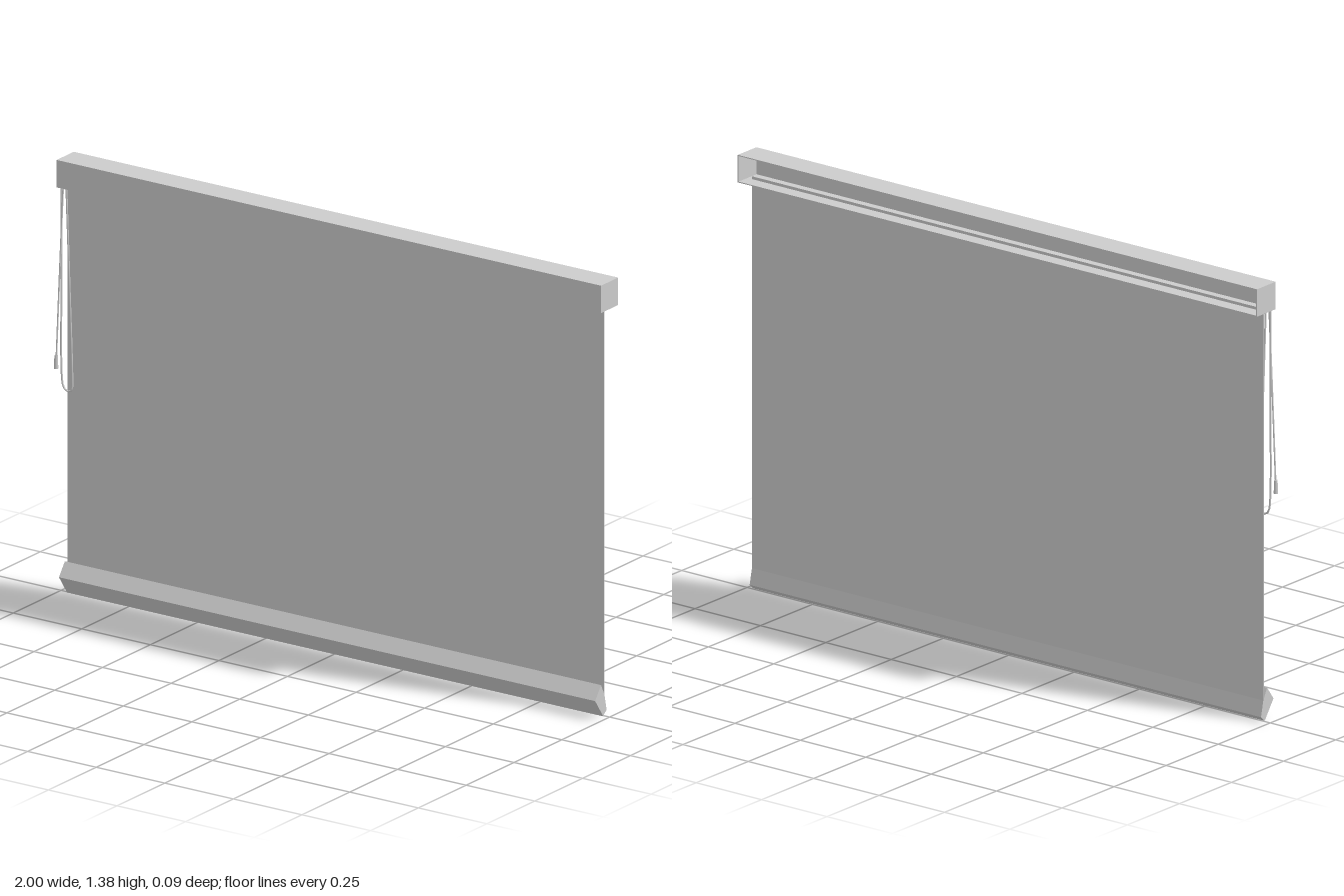
import * as THREE from 'three';

export function createModel() {
  const group = new THREE.Group();
  const mat = new THREE.MeshStandardMaterial({ color: 0xcccccc, side: THREE.DoubleSide });

  const add = (name, geo) => {
    const mesh = new THREE.Mesh(geo, mat);
    mesh.name = name;
    group.add(mesh);
    return mesh;
  };
  const box = (name, x0, x1, y0, y1, z0, z1) =>
    add(name, new THREE.BoxGeometry(x1 - x0, y1 - y0, z1 - z0)
      .translate((x0 + x1) / 2, (y0 + y1) / 2, (z0 + z1) / 2));

  // Headbox: a channel open at the back, closed at both ends
  const L = -0.985, R = 1, B = 1.293, T = 1.38, D = 0.045, t = 0.003;
  box('headboxTop', L, R, T - t, T, -D, D);
  box('headboxFront', L, R, B, T, D - t, D);
  box('headboxBottom', L, R, B, B + t, -D, D);
  box('headboxRightEnd', L, L + t, B, T, -D, D);
  box('headboxLeftEnd', R - t, R, B, T, -D, D);

  // Fabric hanging from the headbox
  const fx0 = -0.975, fx1 = 0.98;
  box('fabric', fx0, fx1, 0.03, 1.305, -0.002, 0.002);

  // Angular bottom bar, its (z, y) profile swept along x
  const profile = [[0.016, 0.102], [0.047, 0.06], [0.005, 0], [-0.013, 0.016], [-0.002, 0.066]];
  const shape = new THREE.Shape(profile.map(([z, y]) => new THREE.Vector2(-z, y)));
  const bar = new THREE.ExtrudeGeometry(shape, { depth: fx1 - fx0, bevelEnabled: false });
  bar.rotateY(Math.PI / 2).translate(fx0, 0, 0);
  add('bottomBar', bar);

  // Cords at the right end: a hanging loop and a pull cord
  const cord = (name, points, segments, radius) => {
    const path = new THREE.CatmullRomCurve3(
      points.map(p => new THREE.Vector3(...p)), false, 'centripetal');
    add(name, new THREE.TubeGeometry(path, segments, radius, 8));
  };
  const lz = 0.024;
  cord('loopCord', [
    [-0.982, 1.295, lz], [-0.982, 1.0, lz], [-0.981, 0.7, lz], [-0.976, 0.662, lz],
    [-0.966, 0.648, lz], [-0.952, 0.646, lz], [-0.943, 0.655, lz],
    [-0.942, 0.68, lz], [-0.953, 1.0, lz], [-0.964, 1.295, lz],
  ], 90, 0.003);
  cord('pullCord', [[-0.967, 1.295, 0.036], [-0.98, 1.02, 0.036], [-0.992, 0.75, 0.036]], 12, 0.0025);

  // Small grip at the end of the pull cord
  add('cordGrip', new THREE.CylinderGeometry(0.005, 0.007, 0.042, 12).translate(-0.993, 0.736, 0.036));

  return group;
}
